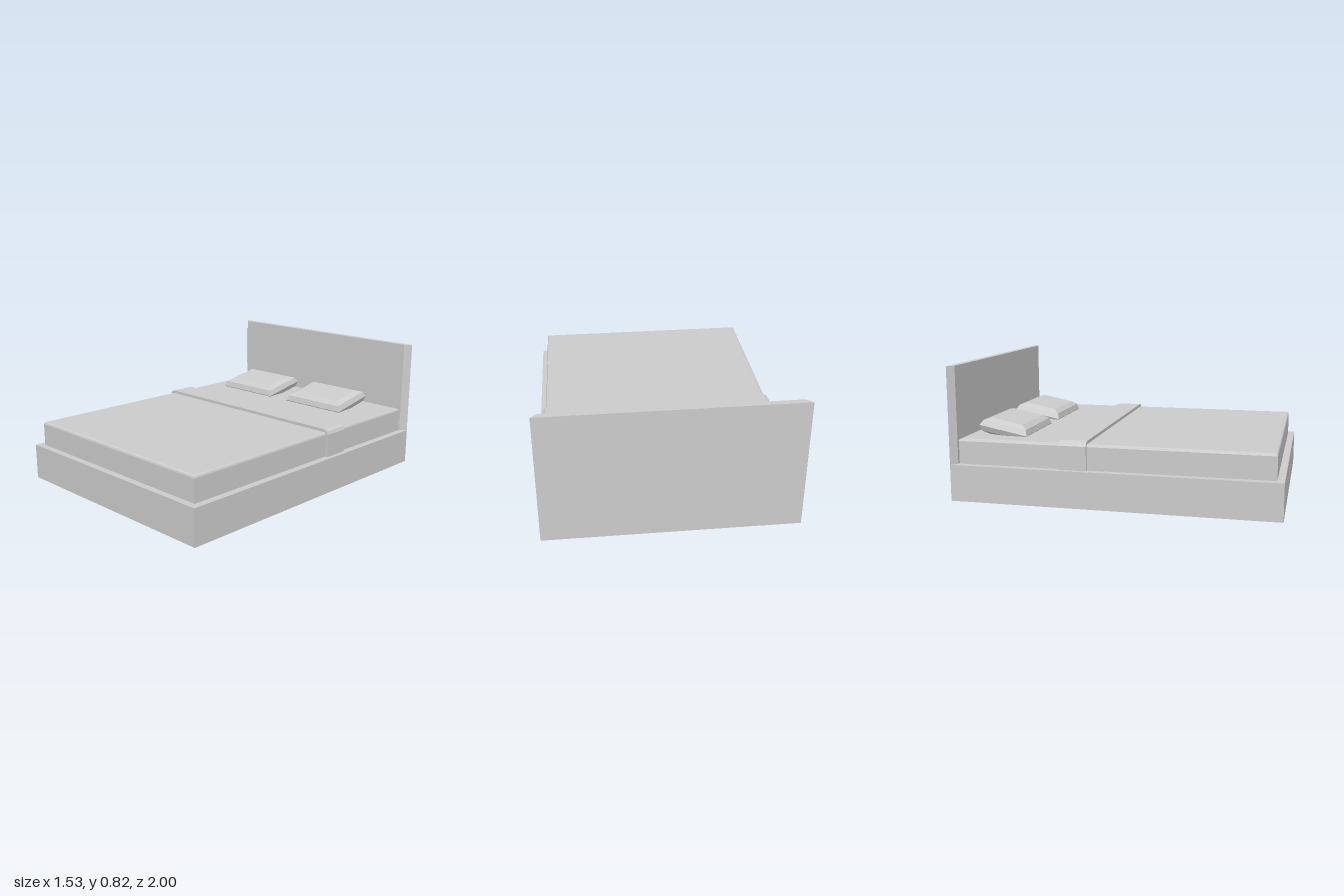
import * as THREE from 'three';

const material = new THREE.MeshStandardMaterial({ color: 0xcccccc, flatShading: true });

function add(parent, name, geometry, x = 0, y = 0, z = 0) {
  const mesh = new THREE.Mesh(geometry, material);
  mesh.name = name;
  mesh.position.set(x, y, z);
  parent.add(mesh);
  return mesh;
}

// Closed solid through rectangular sections [halfWidth, halfDepth, height], listed bottom to top
function loftRectangles(sections) {
  const positions = [];
  const index = [];
  for (const [w, d, y] of sections) {
    positions.push(-w, y, d, w, y, d, w, y, -d, -w, y, -d);
  }
  for (let s = 0; s < sections.length - 1; s++) {
    for (let i = 0; i < 4; i++) {
      const a = s * 4 + i;
      const b = s * 4 + (i + 1) % 4;
      index.push(a, b, b + 4, a, b + 4, a + 4);
    }
  }
  const t = (sections.length - 1) * 4;
  index.push(0, 2, 1, 0, 3, 2, t, t + 1, t + 2, t, t + 2, t + 3);
  const indexed = new THREE.BufferGeometry();
  indexed.setAttribute('position', new THREE.Float32BufferAttribute(positions, 3));
  indexed.setIndex(index);
  const geometry = indexed.toNonIndexed();
  geometry.computeVertexNormals();
  return geometry;
}

export function createModel() {
  const bed = new THREE.Group();
  bed.name = 'bed';

  // Solid base
  add(bed, 'base', new THREE.BoxGeometry(1.53, 0.225, 2), 0, 0.1125, 0);

  // Headboard with mitred side edges, narrower at the front
  const headboard = loftRectangles([[0.765, 0.3, 0], [0.727, 0.3, 0.037]]);
  headboard.rotateX(Math.PI / 2);
  add(bed, 'headboard', headboard, 0, 0.525, -1);

  // Mattress with a softened top edge
  add(bed, 'mattress', loftRectangles([
    [0.72, 0.957, 0.225], [0.72, 0.957, 0.366], [0.716, 0.953, 0.376], [0.706, 0.943, 0.381],
  ]));

  // Folded blanket band draped across the mattress
  const outer = [[0.737, 0.225], [0.737, 0.37], [0.727, 0.39], [0.703, 0.4]];
  const inner = [[0.703, 0.376], [0.715, 0.366], [0.715, 0.225]];
  const mirror = (points) => points.map(([x, y]) => [-x, y]).reverse();
  const outline = [...outer, ...mirror(outer), ...mirror(inner), ...inner];
  const band = new THREE.ExtrudeGeometry(
    new THREE.Shape(outline.map(([x, y]) => new THREE.Vector2(x, y))),
    { depth: 0.165, bevelEnabled: false },
  );
  add(bed, 'blanketBand', band, 0, 0, -0.315);

  // Faceted pillows tilted up towards the headboard
  const pillow = loftRectangles([
    [0.183, 0.104, -0.052], [0.218, 0.14, -0.034], [0.232, 0.157, 0],
    [0.218, 0.14, 0.034], [0.183, 0.104, 0.052],
  ]);
  for (const [name, x] of [['rightPillow', -0.357], ['leftPillow', 0.263]]) {
    add(bed, name, pillow, x, 0.415, -0.725).rotation.x = 0.19;
  }

  return bed;
}
